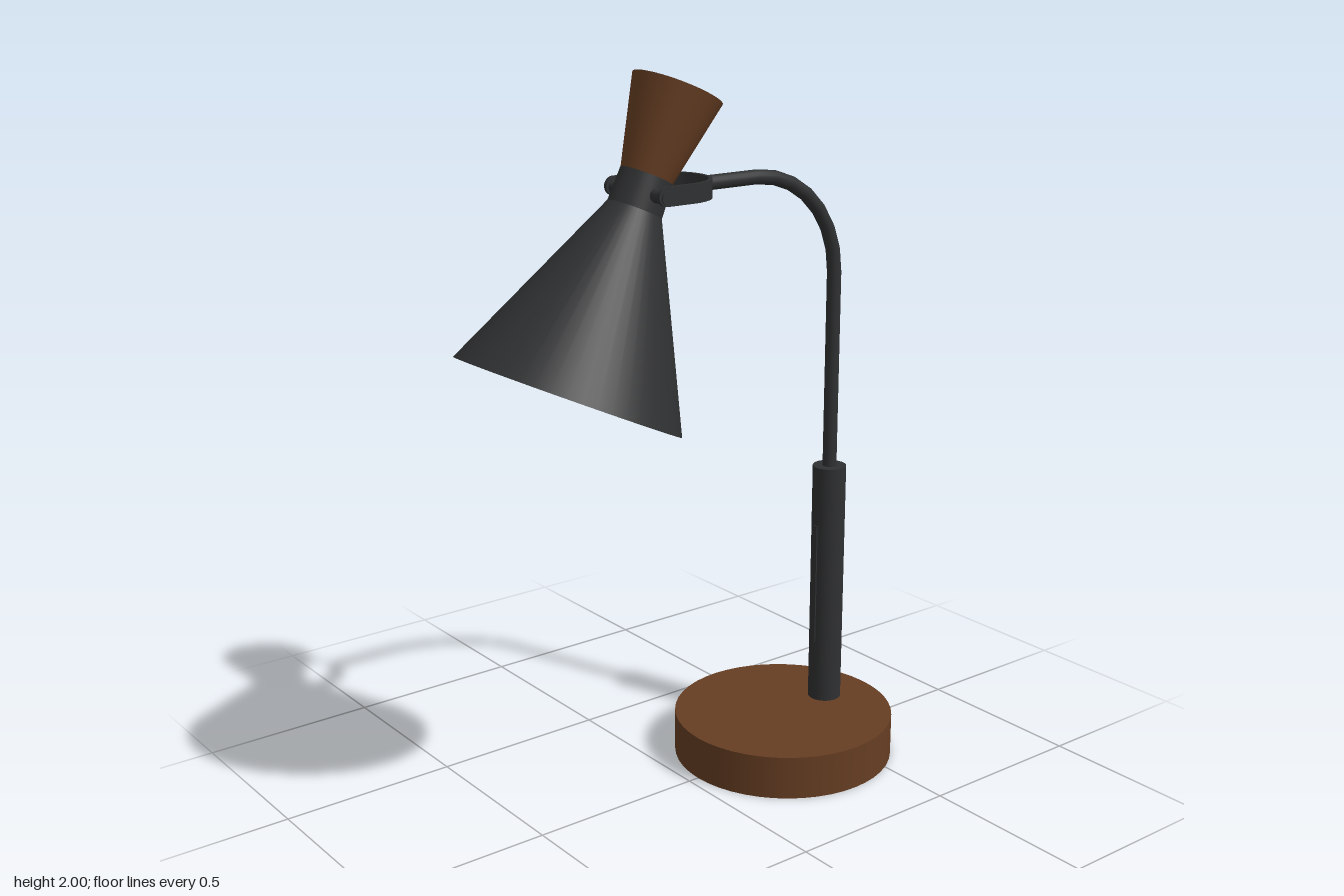
import * as THREE from 'three';

const SEG = 48;

export function createModel() {
  const material = (name, color, side = THREE.FrontSide) => {
    const m = new THREE.MeshStandardMaterial({ color, side });
    m.name = name;
    return m;
  };
  const wood = material('walnut wood', 0x653d22);
  const metal = material('black metal', 0x2f3031);
  const white = material('white lining', 0xe6e4e4, THREE.DoubleSide);
  const glass = material('grey bulb', 0x858585);

  const lamp = new THREE.Group();
  lamp.name = 'deskLamp';
  const add = (parent, name, geometry, mat, x = 0, y = 0, z = 0) => {
    const mesh = new THREE.Mesh(geometry, mat);
    mesh.name = name;
    mesh.position.set(x, y, z);
    parent.add(mesh);
    return mesh;
  };
  // Cylinder or cone placed between two heights
  const turned = (parent, name, rTop, rBottom, y0, y1, mat, x = 0, open = false, seg = SEG) =>
    add(parent, name, new THREE.CylinderGeometry(rTop, rBottom, y1 - y0, seg, 1, open), mat, x, (y0 + y1) / 2);

  // Base and stand
  const standX = 0.51;
  turned(lamp, 'base', 0.317, 0.317, 0, 0.125, wood, 0.348);
  turned(lamp, 'stem', 0.048, 0.048, 0.12, 0.845, metal, standX, false, 32);
  add(lamp, 'stemStrip', new THREE.BoxGeometry(0.008, 0.36, 0.016), metal, standX - 0.047, 0.49);
  turned(lamp, 'pole', 0.02, 0.02, 0.84, 1.41, metal, standX, false, 16);

  // Bent arm: quarter bend, then a level run to the yoke
  const bend = 0.29;
  add(lamp, 'armBend', new THREE.TorusGeometry(bend, 0.02, 16, 7, Math.PI / 2), metal, standX - bend, 1.41);
  const arm = add(lamp, 'arm', new THREE.CylinderGeometry(0.02, 0.02, 0.185, 16), metal, 0.1285, 1.7);
  arm.rotation.z = Math.PI / 2;

  // U-shaped yoke strap around the neck
  const outer = 0.118, inner = 0.108, bendX = -0.075, tipX = -0.16;
  const strap = new THREE.Shape();
  strap.moveTo(tipX, -outer);
  strap.lineTo(bendX, -outer);
  strap.absarc(bendX, 0, outer, -Math.PI / 2, Math.PI / 2, false);
  strap.lineTo(tipX, outer);
  strap.lineTo(tipX, inner);
  strap.lineTo(bendX, inner);
  strap.absarc(bendX, 0, inner, Math.PI / 2, -Math.PI / 2, true);
  strap.lineTo(tipX, -inner);
  strap.closePath();
  const strapGeometry = new THREE.ExtrudeGeometry(strap, { depth: 0.05, bevelEnabled: false, curveSegments: 20 });
  strapGeometry.rotateX(Math.PI / 2);
  add(lamp, 'yoke', strapGeometry, metal, 0, 1.725);

  // Rounded strap ends and pivot pins
  for (const side of [-1, 1]) {
    const end = add(lamp, 'yokeEnd', new THREE.CylinderGeometry(0.025, 0.025, 0.01, 24), metal, tipX, 1.7, side * 0.113);
    const pin = add(lamp, 'pivotPin', new THREE.CylinderGeometry(0.018, 0.018, 0.06, 20), metal, tipX, 1.697, side * 0.092);
    end.rotation.x = pin.rotation.x = Math.PI / 2;
  }

  // Tilted head, with its origin at the centre of the shade rim
  const head = new THREE.Group();
  head.name = 'head';
  head.position.set(-0.388, 1.2, 0);
  head.rotation.z = -0.438;
  lamp.add(head);
  turned(head, 'shade', 0.073, 0.306, 0, 0.502, metal, 0, true);
  turned(head, 'shadeLining', 0.067, 0.305, 0.0005, 0.495, white, 0, true);
  turned(head, 'collar', 0.07, 0.073, 0.495, 0.592, metal);
  turned(head, 'handle', 0.121, 0.069, 0.59, 0.826, wood);

  // Bulb: round globe running into a narrow neck
  const bulbProfile = [];
  for (let i = 0; i <= 14; i++) {
    const a = -Math.PI / 2 + (i / 14) * Math.PI * 0.8;
    bulbProfile.push(new THREE.Vector2(Math.max(0, 0.11 * Math.cos(a)), 0.17 + 0.11 * Math.sin(a)));
  }
  bulbProfile.push(new THREE.Vector2(0.045, 0.33), new THREE.Vector2(0.04, 0.5));
  add(head, 'bulb', new THREE.LatheGeometry(bulbProfile, 32), glass);

  return lamp;
}
